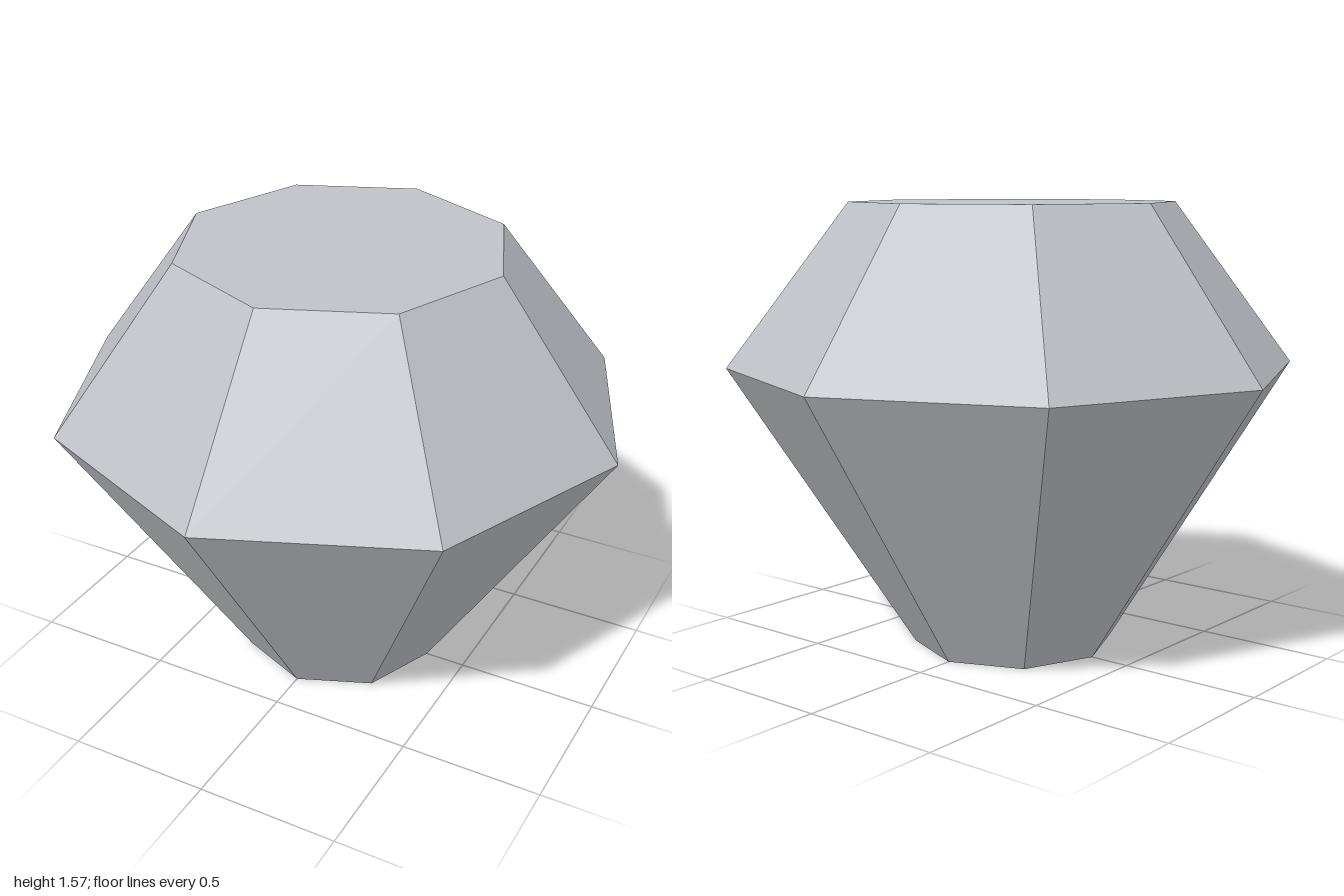
import * as THREE from 'three';

export function createModel() {
  const group = new THREE.Group();
  group.name = 'cutGem';

  const silver = new THREE.MeshStandardMaterial({ color: 0xbfc2c7, flatShading: true });
  silver.name = 'silver grey';

  const SIDES = 8;
  const girdleY = 1, topY = 1.57;
  const girdleR = 1, tableR = 0.57, baseR = 0.355;

  // Ring of sloping facets, corners on the x and z axes
  function facets(name, rTop, rBottom, y0, y1) {
    const geometry = new THREE.CylinderGeometry(rTop, rBottom, y1 - y0, SIDES, 1, true);
    const mesh = new THREE.Mesh(geometry, silver);
    mesh.name = name;
    mesh.position.y = (y0 + y1) / 2;
    group.add(mesh);
  }

  // Flat octagonal end face, turned up or down
  function endFace(name, radius, y, tilt) {
    const geometry = new THREE.CircleGeometry(radius, SIDES).rotateX(tilt);
    const mesh = new THREE.Mesh(geometry, silver);
    mesh.name = name;
    mesh.position.y = y;
    group.add(mesh);
  }

  facets('crown', tableR, girdleR, girdleY, topY);
  facets('pavilion', girdleR, baseR, 0, girdleY);
  endFace('table', tableR, topY, -Math.PI / 2);
  endFace('base', baseR, 0, Math.PI / 2);

  return group;
}
